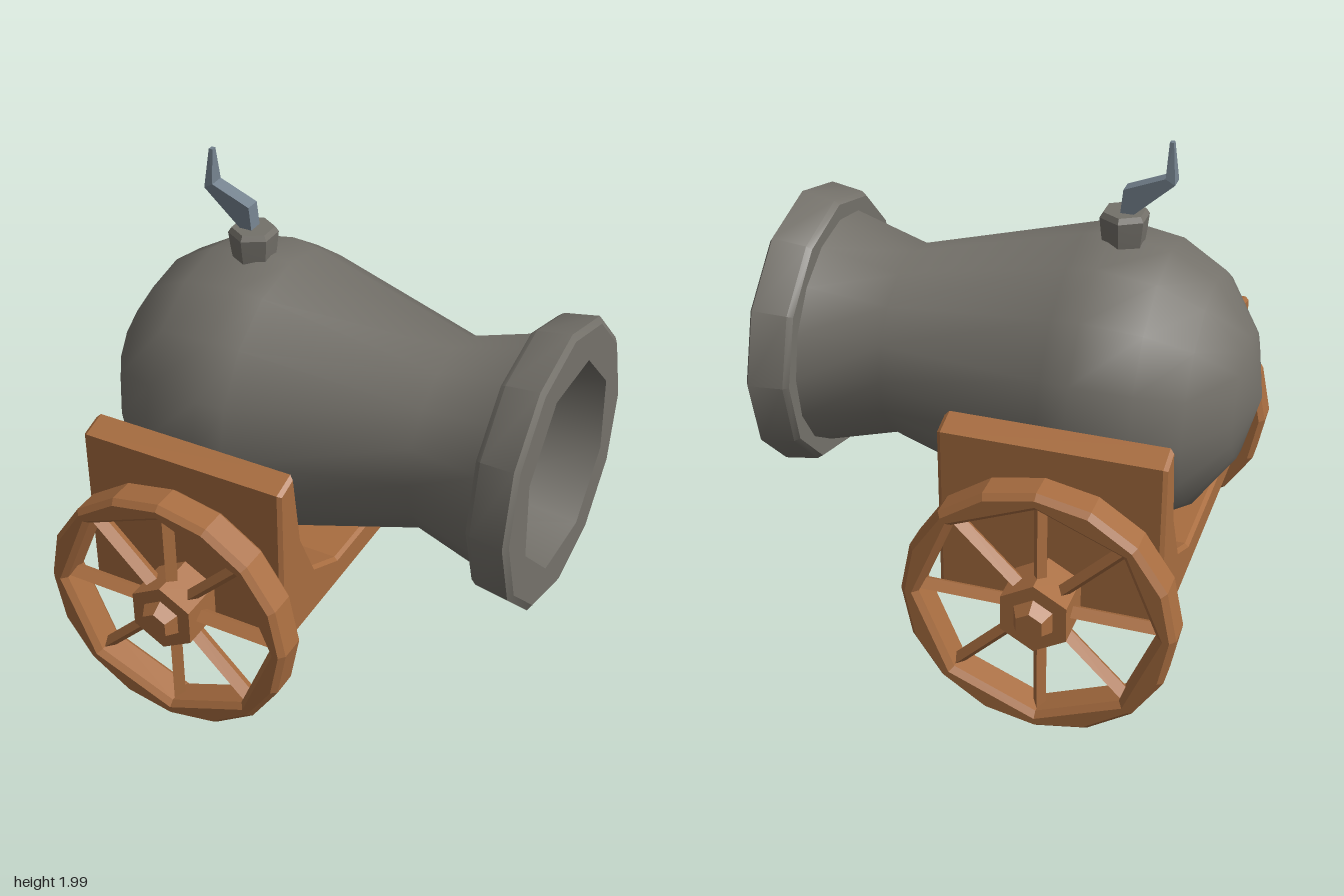
import * as THREE from 'three';
import { toCreasedNormals } from 'three/addons/utils/BufferGeometryUtils.js';

const mat = (name, color, flatShading = false) => {
  const m = new THREE.MeshStandardMaterial({ color });
  m.name = name;
  m.flatShading = flatShading;
  return m;
};

const polygon = (Type, r, n, start = 0) => {
  const pts = [];
  for (let i = 0; i < n; i++) {
    const a = start + (i / n) * Math.PI * 2;
    pts.push(new THREE.Vector2(Math.cos(a) * r, Math.sin(a) * r));
  }
  return new Type(pts);
};

// Revolved profile of [position along x, radius] pairs
const latheX = (profile, sides, start = 0) =>
  new THREE.LatheGeometry(profile.map(([x, r]) => new THREE.Vector2(r, x)), sides, start).rotateZ(-Math.PI / 2);

const outline = (points) => new THREE.Shape(points.map(([x, y]) => new THREE.Vector2(x, y)));

export function createModel() {
  const iron = mat('iron', 0x74716a);
  const wood = mat('wood', 0xa86d40, true);
  const fuseGrey = mat('fuse grey', 0x74828e, true);

  const model = new THREE.Group();
  model.name = 'cannon';
  const add = (parent, name, geometry, material) => {
    const mesh = new THREE.Mesh(geometry, material);
    mesh.name = name;
    parent.add(mesh);
    return mesh;
  };

  // Barrel, tipped up very slightly
  const barrel = new THREE.Group();
  barrel.name = 'barrel';
  barrel.position.y = 1.06;
  barrel.rotation.z = 0.014;
  model.add(barrel);
  add(barrel, 'barrelBody', toCreasedNormals(latheX([
    [-0.92, 0], [-0.86, 0.24], [-0.72, 0.44], [-0.55, 0.535], [-0.33, 0.568],
    [-0.22, 0.55], [0.44, 0.37], [0.74, 0.455],
  ], 16), 0.75), iron);
  add(barrel, 'muzzleBand', toCreasedNormals(latheX([
    [0.735, 0.43], [0.735, 0.515], [0.755, 0.53], [0.885, 0.55], [0.9, 0.525],
  ], 12), 0.6), iron);
  const face = polygon(THREE.Shape, 0.525, 12);
  face.holes.push(polygon(THREE.Path, 0.395, 8, Math.PI / 8));
  add(barrel, 'muzzleFace', new THREE.ShapeGeometry(face).rotateY(Math.PI / 2).translate(0.9, 0, 0), iron);
  add(barrel, 'bore', latheX([
    [0.9, 0.395], [0.45, 0.33], [0.2, 0.31], [0.08, 0.2], [0.04, 0],
  ], 8, Math.PI / 8), iron);

  // Fuse holder and bent fuse
  const holder = new THREE.LatheGeometry([
    [0.075, 1.57], [0.085, 1.63], [0.093, 1.7], [0.08, 1.72], [0, 1.72],
  ].map(([r, y]) => new THREE.Vector2(r, y)), 6);
  add(model, 'fuseHolder', toCreasedNormals(holder, 0.5), iron).position.x = -0.38;

  const fuse = new THREE.ExtrudeGeometry(outline([
    [-0.41, 1.71], [-0.37, 1.71], [-0.38, 1.81], [-0.53, 1.87], [-0.535, 2], [-0.55, 2], [-0.565, 1.85],
  ]), { depth: 0.06, bevelEnabled: false }).translate(0, 0, -0.03);
  const p = fuse.attributes.position;
  for (let i = 0; i < p.count; i++) {
    if (p.getY(i) > 1.9) p.setZ(i, p.getZ(i) * 0.35);
  }
  add(model, 'fuse', fuse, fuseGrey);

  // Carriage cradle: a U section running along the barrel
  const half = [[0.25, 0.52], [0.43, 0.61], [0.53, 0.82], [0.575, 1.13], [0.675, 1.1], [0.675, 0.43], [0.645, 0.4]];
  const cradle = outline([...half, ...half.map(([z, y]) => [-z, y]).reverse()]);
  add(model, 'carriage', new THREE.ExtrudeGeometry(cradle, {
    depth: 0.8, bevelThickness: 0.015, bevelSize: 0.012, bevelOffset: -0.012, bevelSegments: 1,
  }).rotateY(Math.PI / 2).translate(-0.715, 0, 0), wood);

  // Wheels, each built facing +z and turned round for the other side
  const rim = polygon(THREE.Shape, 0.507, 16);
  rim.holes.push(polygon(THREE.Path, 0.44, 8));
  const rimGeo = new THREE.ExtrudeGeometry(rim, {
    depth: 0.1, bevelThickness: 0.022, bevelSize: 0.02, bevelOffset: -0.02, bevelSegments: 1,
  }).translate(0, 0, 0.722);
  const drum = (r0, r1, z0, z1) =>
    new THREE.CylinderGeometry(r1, r0, z1 - z0, 6).rotateX(Math.PI / 2).translate(0, 0, (z0 + z1) / 2);
  const spokeGeo = new THREE.CylinderGeometry(0.024, 0.024, 0.36, 4).scale(1, 1, 1.6).translate(0, 0.26, 0.77);

  for (const turn of [0, Math.PI]) {
    const wheel = new THREE.Group();
    wheel.name = turn ? 'backWheel' : 'frontWheel';
    wheel.position.set(-0.315, 0.514, 0);
    wheel.rotation.y = turn;
    model.add(wheel);
    add(wheel, 'rim', rimGeo, wood);
    add(wheel, 'axle', drum(0.14, 0.14, 0.6, 0.7), wood);
    add(wheel, 'hub', drum(0.14, 0.14, 0.69, 0.855), wood);
    add(wheel, 'hubCap', drum(0.085, 0.055, 0.85, 0.905), wood);
    for (let i = 0; i < 8; i++) {
      add(wheel, 'spoke', spokeGeo, wood).rotation.z = (i * Math.PI) / 4;
    }
  }
  return model;
}
